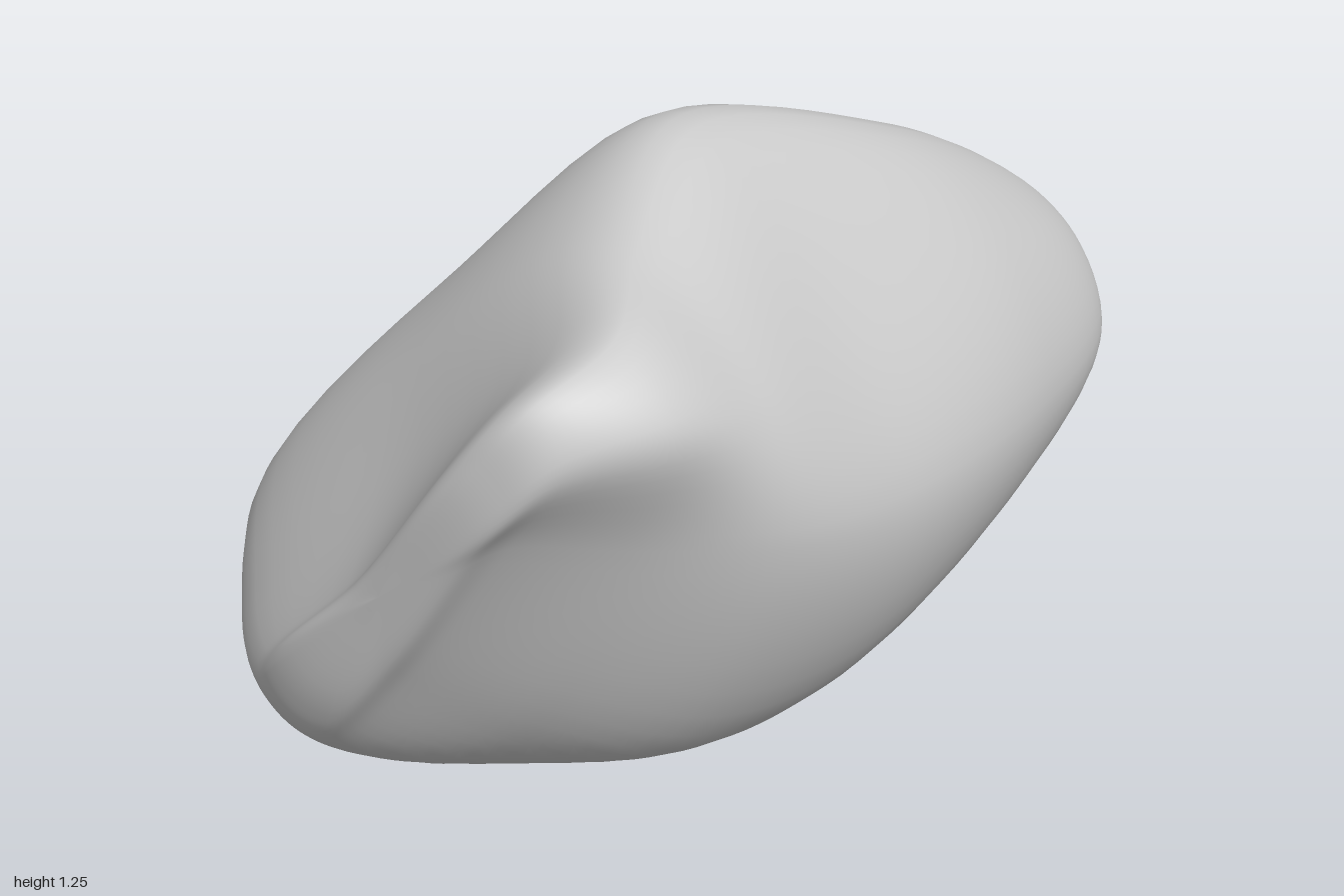
import * as THREE from 'three';
import { mergeVertices } from 'three/addons/utils/BufferGeometryUtils.js';

// Cross-sections from back to front: z, then x,y pairs running
// left, lower left, bottom, lower right, right, upper right, top, upper left
const SECTIONS = [
  [-0.8, -0.26, 0.36, -0.14, 0.22, 0.12, 0.19, 0.38, 0.29, 0.54, 0.53, 0.45, 0.74, 0.24, 0.84, -0.05, 0.64],
  [-0.4, -0.5, 0.27, -0.38, 0.09, 0.04, 0.045, 0.44, 0.17, 0.64, 0.53, 0.52, 0.86, 0.24, 1.07, -0.12, 0.76],
  [0.15, -0.665, 0.33, -0.45, 0.09, 0.03, 0, 0.46, 0.11, 0.68, 0.59, 0.49, 0.96, 0.13, 1.25, -0.27, 0.9],
  [0.5, -0.655, 0.32, -0.46, 0.12, 0.02, 0.02, 0.38, 0.14, 0.64, 0.67, 0.57, 0.96, 0.25, 1.165, -0.25, 0.82],
  [0.75, -0.48, 0.25, -0.35, 0.14, -0.03, 0.085, 0.24, 0.28, 0.48, 0.73, 0.565, 0.99, 0.4, 1.125, -0.07, 0.69],
  [0.93, -0.28, 0.29, -0.22, 0.21, -0.1, 0.2, 0.1, 0.42, 0.33, 0.77, 0.45, 0.96, 0.37, 1.06, 0, 0.61],
];
const BACK = new THREE.Vector3(0.21, 0.57, -1);
const FRONT = new THREE.Vector3(0.09, 0.62, 0.997);

// A ring near one end: the outermost section drawn in towards the pole
function endRing(point, pole, amount, z) {
  return point.clone().lerp(pole, amount).setZ(z);
}

function rockGeometry(rows = 80, cols = 64) {
  // Eight lengthwise rails, joined at a back and a front pole
  const rails = [];
  for (let k = 1; k < 17; k += 2) {
    const points = SECTIONS.map((s) => new THREE.Vector3(s[k], s[k + 1], s[0]));
    const backRing = endRing(points[0], BACK, 0.5, -0.96);
    const frontRing = endRing(points.at(-1), FRONT, 0.3, 0.985);
    rails.push(new THREE.CatmullRomCurve3([BACK, backRing, ...points, frontRing, FRONT]));
  }

  // Smooth closed rings across the rails
  const positions = [];
  for (let i = 0; i <= rows; i++) {
    const pole = i === 0 ? BACK : i === rows ? FRONT : null;
    const ring = new THREE.CatmullRomCurve3(rails.map((rail) => rail.getPoint(i / rows)), true);
    for (let j = 0; j < cols; j++) {
      const p = pole || ring.getPoint(j / cols);
      positions.push(p.x, Math.max(0, p.y), p.z);
    }
  }

  // Skin between neighbouring rings, with single triangles at the poles
  const index = [];
  for (let i = 0; i < rows; i++) {
    for (let j = 0; j < cols; j++) {
      const a = i * cols + j;
      const b = i * cols + ((j + 1) % cols);
      const c = b + cols;
      const d = a + cols;
      if (i > 0) index.push(a, b, c);
      if (i < rows - 1) index.push(a, c, d);
    }
  }

  const geometry = new THREE.BufferGeometry();
  geometry.setAttribute('position', new THREE.Float32BufferAttribute(positions, 3));
  geometry.setIndex(index);
  const welded = mergeVertices(geometry, 1e-5);
  welded.computeVertexNormals();
  return welded;
}

export function createModel() {
  const model = new THREE.Group();
  model.name = 'rock';
  const boulder = new THREE.Mesh(rockGeometry(), new THREE.MeshStandardMaterial({ color: 0xcccccc }));
  boulder.name = 'boulder';
  model.add(boulder);
  return model;
}
